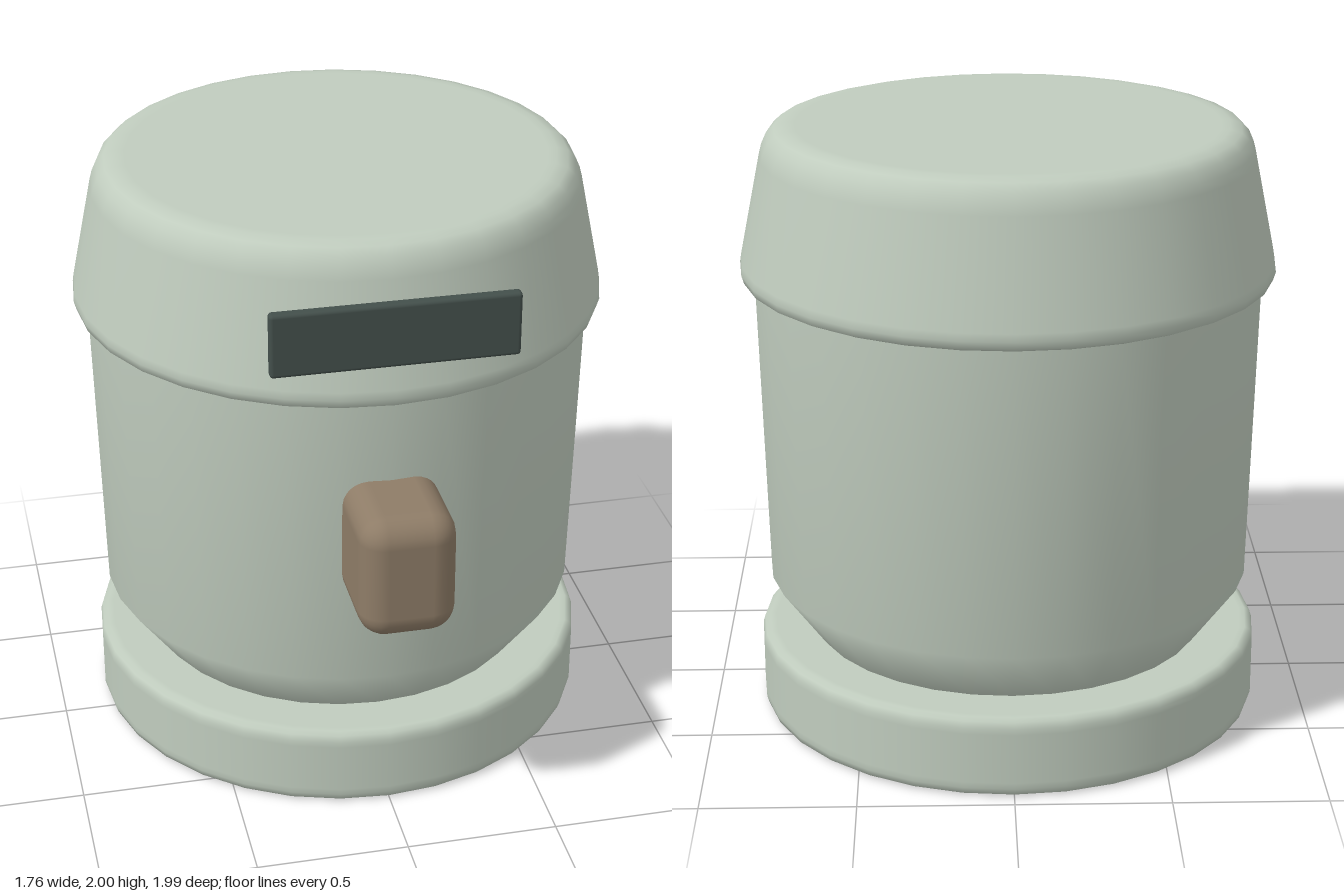
import * as THREE from 'three';
import { RoundedBoxGeometry } from 'three/addons/geometries/RoundedBoxGeometry.js';

const SEGMENTS = 32;
const AXIS_Z = -0.11;

function makeMaterial(name, color) {
  const material = new THREE.MeshStandardMaterial({ color });
  material.name = name;
  return material;
}

// Round part turned about the jar's axis; the profile runs [radius, y] from bottom to top.
function turned(name, profile, material) {
  const points = profile.map(([r, y]) => new THREE.Vector2(r, y));
  const mesh = new THREE.Mesh(new THREE.LatheGeometry(points, SEGMENTS), material);
  mesh.name = name;
  mesh.position.z = AXIS_Z;
  return mesh;
}

// Soft-edged block given by its size and centre.
function block(name, size, centre, segments, radius, material) {
  const mesh = new THREE.Mesh(new RoundedBoxGeometry(...size, segments, radius), material);
  mesh.name = name;
  mesh.position.set(...centre);
  return mesh;
}

export function createModel() {
  const sage = makeMaterial('sage green', 0xc0ccbe);
  const brown = makeMaterial('warm brown', 0x8e7c67);
  const slate = makeMaterial('dark slate', 0x434f4b);

  const group = new THREE.Group();
  group.name = 'canister';

  group.add(
    // Disc foot with small rounded edges
    turned('base', [
      [0, 0], [0.80, 0], [0.82, 0], [0.838, 0.008], [0.845, 0.03], [0.845, 0.05],
      [0.845, 0.22], [0.845, 0.24], [0.838, 0.262], [0.82, 0.27], [0.80, 0.27], [0, 0.27],
    ], sage),

    // Slightly flared bowl with a chamfered bottom
    turned('body', [
      [0.65, 0.25], [0.665, 0.27], [0.81, 0.47], [0.835, 1.49], [0.835, 1.52],
    ], sage),

    // Tapered lid overhanging the body
    turned('lid', [
      [0, 1.5], [0.84, 1.5], [0.855, 1.5], [0.872, 1.508], [0.88, 1.535], [0.876, 1.56],
      [0.806, 1.90], [0.798, 1.93], [0.782, 1.966], [0.757, 1.99], [0.72, 2], [0.69, 2], [0, 2],
    ], sage),

    // Dark plate on the lid
    block('lidPlate', [0.78, 0.21, 0.04], [0, 1.745, 0.748], 2, 0.012, slate),

    // Stubby front knob set into the body
    block('knob', [0.31, 0.42, 0.44], [0, 1.01, 0.78], 3, 0.085, brown),
  );

  return group;
}
